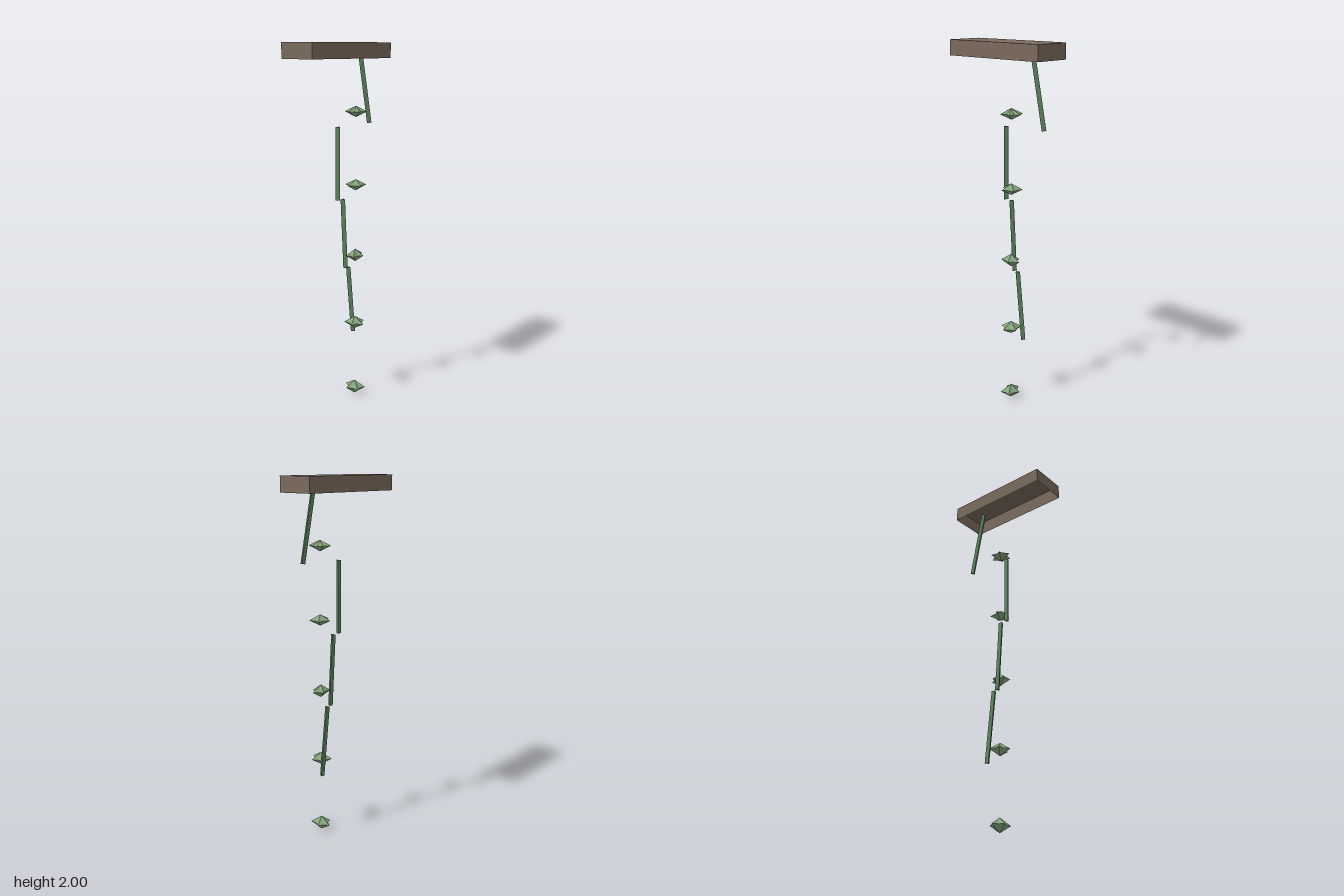
import * as THREE from 'three';

const wood = new THREE.MeshStandardMaterial({ color: 0x7a6a5c, flatShading: true, side: THREE.DoubleSide });
const stemGreen = new THREE.MeshStandardMaterial({ color: 0x5f8660, flatShading: true });
const leafGreen = new THREE.MeshStandardMaterial({ color: 0x84a67c, flatShading: true });

// Flattened star: a jagged ring closed by an apex above and below
function leafGeometry({ points, turn, rx, rz, h }) {
  const n = points * 2;
  const ring = Array.from({ length: n }, (_, i) => {
    const a = turn + (i / n) * Math.PI * 2;
    const r = i % 2 ? 0.62 : 1;
    return [Math.sin(a) * r * rx, 0, Math.cos(a) * r * rz];
  });
  const pos = [];
  for (let i = 0; i < n; i++) {
    const p = ring[i], q = ring[(i + 1) % n];
    pos.push(0, h, 0, ...p, ...q);
    pos.push(0, -h, 0, ...q, ...p);
  }
  const g = new THREE.BufferGeometry();
  g.setAttribute('position', new THREE.Float32BufferAttribute(pos, 3));
  g.computeVertexNormals();
  return g;
}

// Thin box with its underside open
function openTray(w, h, d) {
  const g = new THREE.BoxGeometry(w, h, d);
  const index = Array.from(g.index.array);
  index.splice(18, 6);
  g.setIndex(index);
  g.clearGroups();
  return g;
}

export function createModel() {
  const model = new THREE.Group();
  model.name = 'hangingVine';
  const zMid = -0.005;

  // Ledge the vine hangs from
  const ledge = new THREE.Mesh(openTray(0.622, 0.083, 0.212), wood);
  ledge.name = 'ledge';
  ledge.position.set(0, 1.9585, zMid);
  model.add(ledge);

  // Three-sided stem pieces, top to bottom: centre x and lean
  const stem = new THREE.CylinderGeometry(0.0145, 0.0145, 0.4, 3);
  [[0.222, 0.21], [-0.002, 0], [0.052, 0.06], [0.11, 0.11]].forEach(([x, lean], i) => {
    const mesh = new THREE.Mesh(stem, stemGreen);
    mesh.name = `stem${i + 1}`;
    mesh.position.set(x, 1.76 - i * 0.4, zMid);
    mesh.rotation.z = lean;
    model.add(mesh);
  });

  // Leaves, top to bottom
  const leaves = [
    { points: 6, turn: Math.PI / 2, rx: 0.063, rz: 0.06, h: 0.03 },
    { points: 5, turn: -Math.PI / 2, rx: 0.062, rz: 0.059, h: 0.031 },
    { points: 5, turn: 0.3, rx: 0.06, rz: 0.046, h: 0.036 },
    { points: 5, turn: 0, rx: 0.058, rz: 0.063, h: 0.036 },
    { points: 5, turn: Math.PI, rx: 0.053, rz: 0.065, h: 0.04 },
  ];
  leaves.forEach((spec, i) => {
    const mesh = new THREE.Mesh(leafGeometry(spec), leafGreen);
    mesh.name = `leaf${i + 1}`;
    mesh.position.set(0.087, 1.64 - i * 0.4, 0.045);
    model.add(mesh);
  });

  return model;
}
